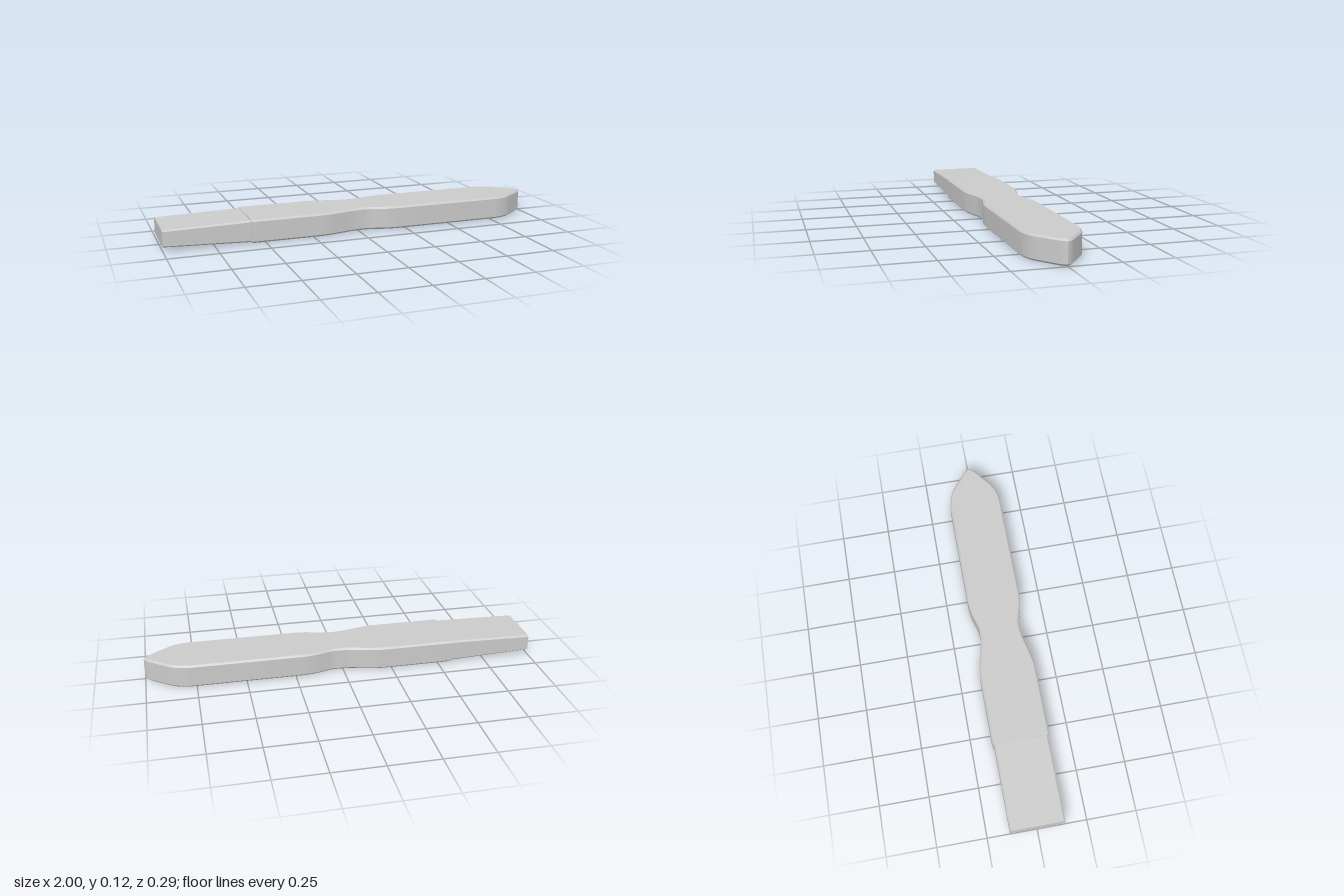
import * as THREE from 'three';
import { toCreasedNormals } from 'three/addons/utils/BufferGeometryUtils.js';

const BEVEL = 0.009;
const HEIGHT = 0.118;
const JOINT = -0.57;

// Smooth curve through [x, halfWidth] pairs
const smooth = (pairs, n) =>
  new THREE.SplineCurve(pairs.map(([x, w]) => new THREE.Vector2(x, w))).getPoints(n);

// Bevelled slab from one half of its outline, mirrored across the long axis
function slab(half) {
  const mirrored = half.filter(p => p.y > 1e-4).reverse().map(p => new THREE.Vector2(p.x, -p.y));
  const geo = new THREE.ExtrudeGeometry(new THREE.Shape([...half, ...mirrored]), {
    depth: HEIGHT - 2 * BEVEL, bevelThickness: BEVEL, bevelSize: BEVEL,
    bevelOffset: -BEVEL, bevelSegments: 1,
  });
  return geo.rotateX(-Math.PI / 2).translate(0, BEVEL, 0);
}

// Move every vertex by a rule
function reshape(geo, rule) {
  const pos = geo.attributes.position;
  const v = new THREE.Vector3();
  for (let i = 0; i < pos.count; i++) {
    rule(v.fromBufferAttribute(pos, i));
    pos.setXYZ(i, v.x, v.y, v.z);
  }
  return toCreasedNormals(geo, 0.5);
}

export function createModel() {
  const group = new THREE.Group();
  const material = new THREE.MeshStandardMaterial({ color: 0xcccccc });
  const add = (name, geo) => {
    const mesh = new THREE.Mesh(geo, material);
    mesh.name = name;
    group.add(mesh);
  };

  // Body: straight rear, narrow waist, straight front and pointed nose
  const waist = smooth([[-0.22, 0.145], [-0.17, 0.141], [-0.1, 0.127], [-0.04, 0.112],
    [0.01, 0.107], [0.055, 0.107], [0.1, 0.119], [0.15, 0.132], [0.2, 0.138], [0.25, 0.139]], 40);
  const shoulder = smooth([[0.78, 0.139], [0.82, 0.132], [0.865, 0.115], [0.91, 0.083], [0.965, 0.041]], 14);
  const nose = smooth([[0.975, 0.033], [0.99, 0.018], [1, 0]], 6);
  const body = slab([new THREE.Vector2(JOINT, 0.145), ...waist, ...shoulder, ...nose]);
  add('body', reshape(body, v => { if (v.x < -0.5) v.x = JOINT; }));

  // Tail: slightly narrower, square-ended and thinning towards its end
  const tail = slab([new THREE.Vector2(-1, 0.137), new THREE.Vector2(JOINT, 0.137)]);
  add('taperedTail', reshape(tail, v => {
    const atEnd = v.x < -0.8;
    v.x = atEnd ? -1 : JOINT;
    const mid = atEnd ? 0.063 : HEIGHT / 2;
    v.y = mid + (v.y - HEIGHT / 2) * (atEnd ? 0.71 : 0.94);
  }));

  return group;
}
